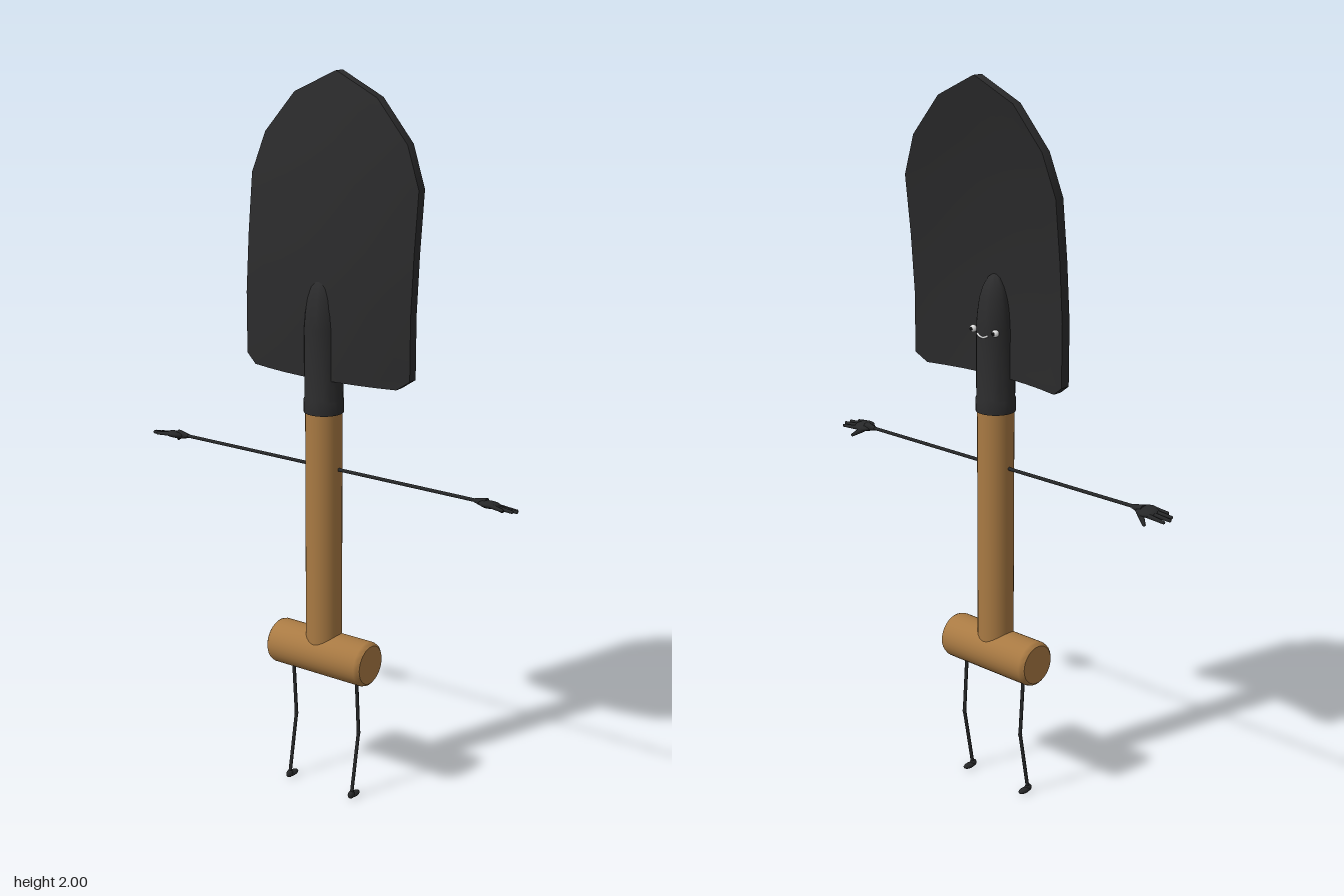
import * as THREE from 'three';
import { toCreasedNormals } from 'three/addons/utils/BufferGeometryUtils.js';

const CX = -0.01; // shaft axis
const mat = (name, color) => {
  const m = new THREE.MeshStandardMaterial({ color });
  m.name = name;
  return m;
};
const V = (x, y, z) => new THREE.Vector3(x, y, z);

function add(parent, name, geometry, material, x = 0, y = 0, z = 0) {
  const mesh = new THREE.Mesh(geometry, material);
  mesh.name = name;
  mesh.position.set(x, y, z);
  parent.add(mesh);
  return mesh;
}

// Tapered round rod from a to b
function rod(parent, name, a, b, r1, r2, material) {
  const d = b.clone().sub(a);
  const mesh = add(parent, name, new THREE.CylinderGeometry(r2, r1, d.length(), 8), material);
  mesh.position.copy(a).addScaledVector(d, 0.5);
  mesh.quaternion.setFromUnitVectors(V(0, 1, 0), d.normalize());
  return mesh;
}

function ball(parent, name, p, sx, sy, sz, material) {
  const mesh = add(parent, name, new THREE.SphereGeometry(1, 12, 8), material, p.x, p.y, p.z);
  mesh.scale.set(sx, sy, sz);
  return mesh;
}

function lathe(points, segments = 32) {
  const g = new THREE.LatheGeometry(points.map(p => new THREE.Vector2(...p)), segments);
  return toCreasedNormals(g, 0.6);
}

// Dished blade: one closed ring per height, [y, half width, back of spine x]
function bladeGeometry() {
  const rows = [
    [1.205, 0.23, -0.04], [1.23, 0.265, -0.04], [1.4, 0.265, -0.04], [1.56, 0.265, -0.028],
    [1.72, 0.265, -0.01], [1.83, 0.225, 0.008], [1.94, 0.13, 0.03], [2.0, 0.002, 0.043],
  ];
  const n = 8, m = 2 * (n + 1), thick = 0.028, dish = 0.04;
  const pos = [], idx = [];
  for (const [y, w, x] of rows) {
    for (let k = 0; k < m; k++) {
      const front = k <= n;
      const z = w * ((front ? k : m - 1 - k) / n * 2 - 1);
      pos.push(x + dish * (z / 0.265) ** 2 + (front ? thick : 0), y, z);
    }
  }
  for (let i = 0; i < rows.length - 1; i++) {
    for (let k = 0; k < m; k++) {
      const a = i * m + k, b = i * m + (k + 1) % m;
      idx.push(a, a + m, b, b, a + m, b + m);
    }
  }
  const top = (rows.length - 1) * m;
  for (let j = 0; j < n; j++) {
    const f = j, g = j + 1, b = m - 1 - j, c = m - 2 - j;
    idx.push(f, g, b, g, c, b);
    idx.push(top + f, top + b, top + g, top + g, top + b, top + c);
  }
  const g = new THREE.BufferGeometry();
  g.setAttribute('position', new THREE.Float32BufferAttribute(pos, 3));
  g.setIndex(idx);
  return toCreasedNormals(g, 0.5);
}

export function createModel() {
  const model = new THREE.Group();
  model.name = 'shovelFigure';
  const wood = mat('wood', 0xa97a43);
  const metal = mat('darkMetal', 0x2b2b2c);
  const limb = mat('limbBlack', 0x262728);
  const white = mat('faceWhite', 0xe4e4e4);
  const black = mat('pupilBlack', 0x0c0c0c);

  // Blade and socket
  add(model, 'blade', bladeGeometry(), metal);
  add(model, 'socket', lathe([
    [0.048, 1.11], [0.054, 1.11], [0.054, 1.145], [0.052, 1.15], [0.052, 1.34], [0.049, 1.38],
    [0.043, 1.42], [0.034, 1.45], [0.02, 1.474], [0.008, 1.482], [0, 1.483],
  ]), metal, CX);

  // Wooden shaft and grip
  add(model, 'shaft', new THREE.CylinderGeometry(0.05, 0.05, 0.7, 32), wood, CX, 0.78);
  const grip = add(model, 'grip', lathe([
    [0, -0.157], [0.054, -0.157], [0.06, -0.152], [0.063, -0.143],
    [0.063, 0.143], [0.06, 0.152], [0.054, 0.157], [0, 0.157],
  ]), wood, CX, 0.413);
  grip.rotation.x = Math.PI / 2;

  // Smile
  const smile = new THREE.QuadraticBezierCurve3(
    V(0.04, 1.328, 0.02), V(0.046, 1.313, 0), V(0.04, 1.328, -0.02));
  add(model, 'mouth', new THREE.TubeGeometry(smile, 12, 0.003, 6), white);

  for (const s of [1, -1]) {
    const side = s > 0 ? 'Front' : 'Back';

    // Eye with pupil
    ball(model, 'eye' + side, V(0.034, 1.336, s * 0.04), 0.01, 0.01, 0.01, white);
    ball(model, 'pupil' + side, V(0.042, 1.336, s * 0.04), 0.004, 0.005, 0.005, black);

    // Arm and hand
    const arm = new THREE.Group();
    arm.name = 'arm' + side;
    model.add(arm);
    rod(arm, 'armRod', V(CX, 0.955, s * 0.03), V(CX, 0.955, s * 0.485), 0.005, 0.005, limb);
    rod(arm, 'wrist', V(CX, 0.955, s * 0.475), V(CX, 0.954, s * 0.51), 0.006, 0.014, limb);
    const palm = ball(arm, 'palm', V(-0.012, 0.953, s * 0.521), 0.028, 0.01, 0.032, limb);
    palm.rotation.z = -0.2;
    [[-0.034, 0.572], [-0.022, 0.594], [-0.008, 0.6], [0.007, 0.592]].forEach(([x, z], i) => {
      const y = 0.957 - i * 0.003;
      const tip = V(x, y - 0.004, s * (z - 0.004));
      rod(arm, 'finger', V(x * 0.8 - 0.002, y, s * 0.53), tip, 0.0065, 0.0045, limb);
      ball(arm, 'fingertip', tip, 0.0045, 0.0045, 0.0045, limb);
    });
    const thumbTip = V(0.021, 0.929, s * 0.538);
    rod(arm, 'thumb', V(0.004, 0.949, s * 0.511), thumbTip, 0.009, 0.0045, limb);
    ball(arm, 'thumbTip', thumbTip, 0.0045, 0.0045, 0.0045, limb);

    // Leg with bent knee and foot
    const leg = new THREE.Group();
    leg.name = 'leg' + side;
    model.add(leg);
    const z = s * 0.108;
    const hip = V(-0.007, 0.37, z), knee = V(0.005, 0.19, z), ankle = V(-0.027, 0.015, z);
    rod(leg, 'thigh', hip, knee, 0.005, 0.005, limb);
    rod(leg, 'shin', knee, ankle, 0.005, 0.005, limb);
    ball(leg, 'knee', knee, 0.006, 0.007, 0.006, limb);
    ball(leg, 'heel', V(-0.029, 0.011, z), 0.012, 0.011, 0.009, limb);
    ball(leg, 'foot', V(-0.014, 0.008, z), 0.022, 0.008, 0.011, limb);
  }
  return model;
}
